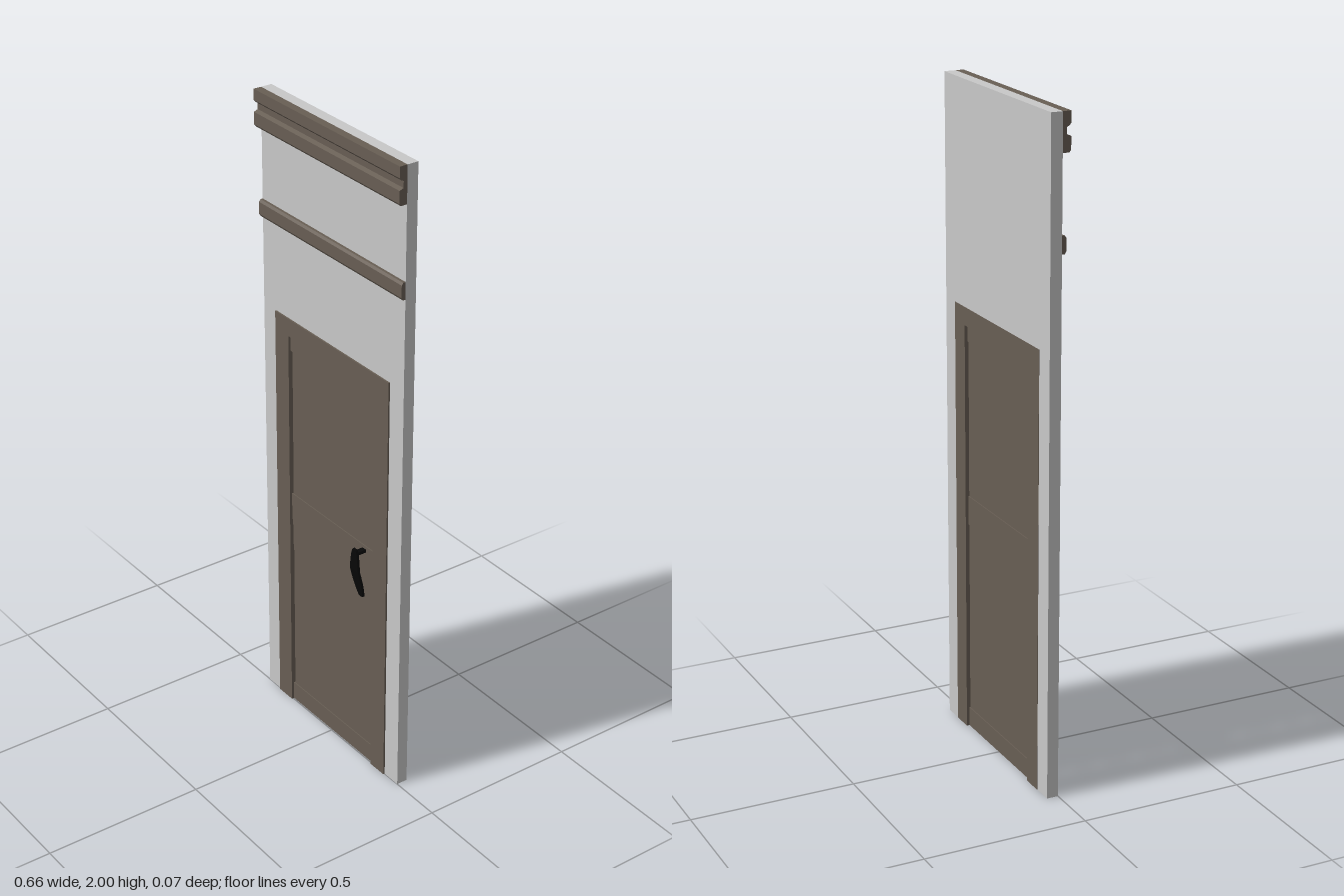
import * as THREE from 'three';

const W = 0.664;          // wall width
const OPEN = 0.205;       // half width of the door opening
const OPEN_TOP = 1.28;

function material(name, color) {
  const m = new THREE.MeshStandardMaterial({ color });
  m.name = name;
  return m;
}

// Upside-down U outline, extruded from zBack to zFront
function archGeometry(outerHalf, outerTop, innerHalf, innerTop, zBack, zFront) {
  const shape = new THREE.Shape([
    [-outerHalf, 0], [-innerHalf, 0], [-innerHalf, innerTop], [innerHalf, innerTop],
    [innerHalf, 0], [outerHalf, 0], [outerHalf, outerTop], [-outerHalf, outerTop],
  ].map(([x, y]) => new THREE.Vector2(x, y)));
  const g = new THREE.ExtrudeGeometry(shape, { depth: zFront - zBack, bevelEnabled: false });
  return g.translate(0, 0, zBack);
}

// Moulding profile given as [z, y], run along x across the wall
function mouldingGeometry(points) {
  const shape = new THREE.Shape(points.map(([z, y]) => new THREE.Vector2(z, y)));
  const g = new THREE.ExtrudeGeometry(shape, { depth: W, bevelEnabled: false });
  return g.rotateY(-Math.PI / 2).translate(W / 2, 0, 0);
}

export function createModel() {
  const root = new THREE.Group();
  const plaster = material('plaster', 0xc8c8c8);
  const wood = material('brown wood', 0x685e54);
  const black = material('black metal', 0x080808);

  const add = (name, geometry, mat) => {
    const mesh = new THREE.Mesh(geometry, mat);
    mesh.name = name;
    root.add(mesh);
    return mesh;
  };
  const box = (name, x0, x1, y0, y1, z0, z1, mat = wood) => {
    const mesh = add(name, new THREE.BoxGeometry(x1 - x0, y1 - y0, z1 - z0), mat);
    mesh.position.set((x0 + x1) / 2, (y0 + y1) / 2, (z0 + z1) / 2);
  };

  // Wall and door frame
  add('wall', archGeometry(W / 2, 2, 0.24, 1.31, -0.035, 0), plaster);
  add('doorFrame', archGeometry(0.27, 1.335, OPEN, OPEN_TOP, -0.036, 0.005), wood);

  // Door rails
  for (const [name, y0, y1] of [['bottomRail', 0, 0.06], ['middleRail', 0.66, 0.75], ['topRail', 1.23, OPEN_TOP]]) {
    box(name, -OPEN, OPEN, y0, y1, -0.027, -0.003);
  }
  // Recessed panels, with a narrow slit along the hinge side
  const slit = -OPEN + 0.004;
  box('upperPanel', slit, OPEN, 0.75, 1.23, -0.024, -0.006);
  box('lowerPanel', slit, OPEN, 0.06, 0.57, -0.024, -0.006);
  box('lowerPanelHead', -OPEN, OPEN, 0.57, 0.66, -0.024, -0.006);

  // Cornice: two chamfered bands with a groove between them
  add('cornice', mouldingGeometry([
    [0, 1.888], [0.02, 1.888], [0.025, 1.895], [0.025, 1.932], [0.012, 1.937],
    [0.012, 1.957], [0.019, 1.96], [0.025, 1.967], [0.025, 2], [0, 2],
  ]), wood);
  add('pictureRail', mouldingGeometry([
    [0, 1.612], [0.008, 1.612], [0.013, 1.62], [0.013, 1.657], [0.008, 1.664], [0, 1.664],
  ]), wood);

  // Handle: a leaf-shaped grip that bends back to the door at its lower end
  const y0 = 0.58, y1 = 0.75;
  const grip = new THREE.BoxGeometry(1, 1, 0.008, 4, 16, 1);
  const p = grip.attributes.position;
  for (let i = 0; i < p.count; i++) {
    const v = p.getY(i) * 2;
    const half = 0.019 * Math.sqrt(1 - 0.85 * v * v);
    const y = THREE.MathUtils.lerp(y0, y1, p.getY(i) + 0.5);
    const bend = Math.min(1, (y - y0) / 0.1);
    p.setXYZ(i, 0.155 + p.getX(i) * 2 * half, y, p.getZ(i) + 0.005 + 0.025 * bend);
  }
  grip.computeVertexNormals();
  add('handleGrip', grip, black);
  box('handleStem', 0.147, 0.163, 0.73, 0.74, -0.006, 0.03, black);
  return root;
}
